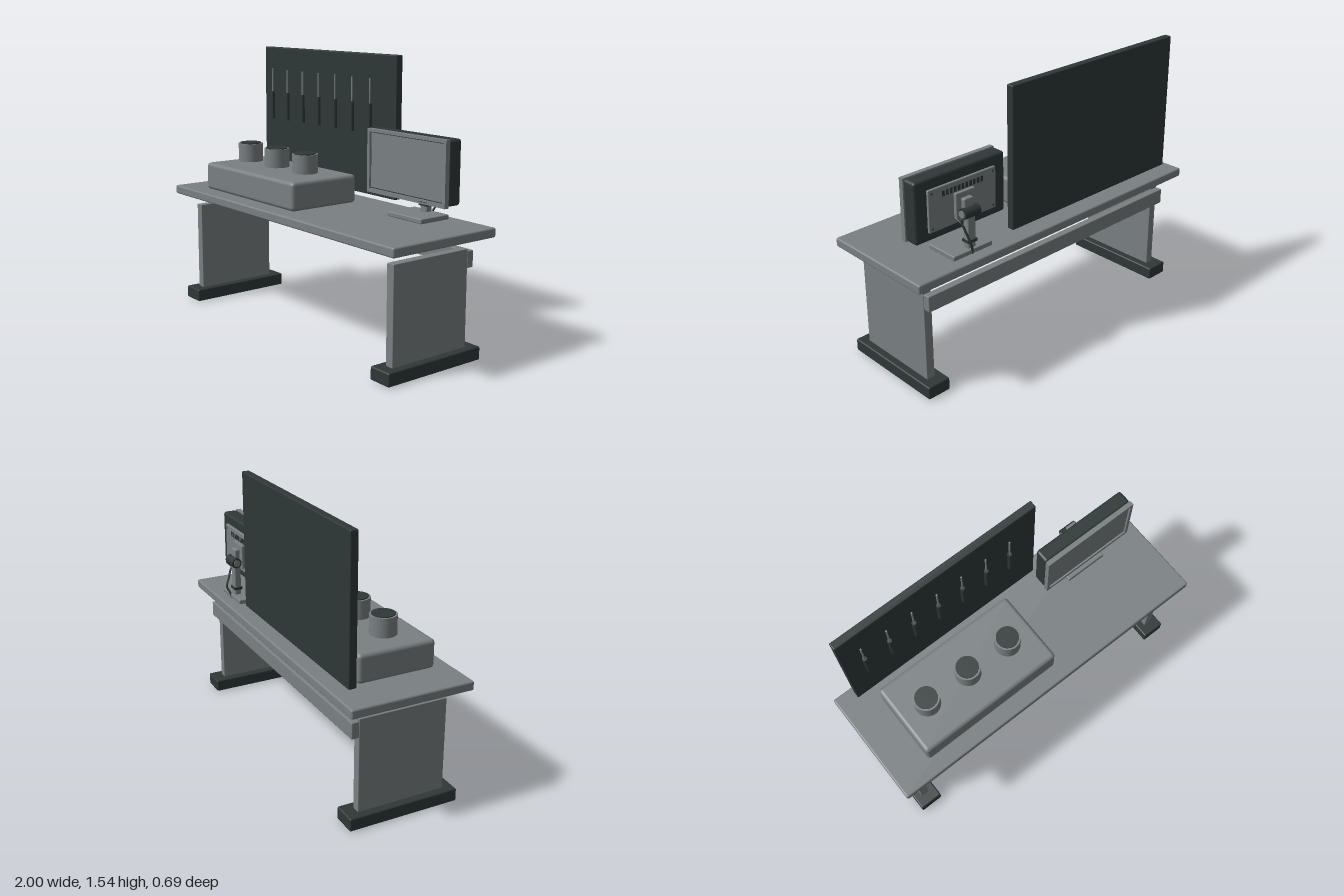
import * as THREE from 'three';
import { RoundedBoxGeometry } from 'three/addons/geometries/RoundedBoxGeometry.js';

export function createModel() {
  const root = new THREE.Group();
  root.name = 'workbench';
  const grey = new THREE.MeshStandardMaterial({ name: 'steel grey', color: 0x7a8183 });
  const dark = new THREE.MeshStandardMaterial({ name: 'dark slate', color: 0x2e3837 });

  const add = (parent, name, geo, mat, x = 0, y = 0, z = 0) => {
    const mesh = new THREE.Mesh(geo, mat);
    mesh.name = name;
    mesh.position.set(x, y, z);
    parent.add(mesh);
    return mesh;
  };
  // Box given by its limits on each axis, with optional rounded edges
  const box = (parent, name, mat, [x0, x1], [y0, y1], [z0, z1], r = 0) => {
    const size = [x1 - x0, y1 - y0, z1 - z0];
    const geo = r ? new RoundedBoxGeometry(...size, 3, r) : new THREE.BoxGeometry(...size);
    return add(parent, name, geo, mat, (x0 + x1) / 2, (y0 + y1) / 2, (z0 + z1) / 2);
  };
  const group = (name) => {
    const g = new THREE.Group();
    g.name = name;
    root.add(g);
    return g;
  };

  // Table: top, legs, feet and rear rail
  const table = group('table');
  box(table, 'tableTop', grey, [-1, 1], [0.655, 0.706], [-0.345, 0.345], 0.01);
  for (const s of [-1, 1]) {
    const side = s < 0 ? 'right' : 'left';
    const span = (a, b) => (s < 0 ? [-b, -a] : [a, b]);
    box(table, side + 'Leg', grey, span(0.853, 0.902), [0.06, 0.592], [-0.247, 0.253], 0.003);
    box(table, side + 'Foot', dark, span(0.808, 0.945), [0, 0.072], [-0.314, 0.314], 0.008);
  }
  box(table, 'rearRail', grey, [-0.902, 0.902], [0.49, 0.58], [-0.289, -0.247], 0.005);

  // Storage case with three cups
  const storage = group('storage');
  box(storage, 'case', grey, [-0.785, 0.09], [0.706, 0.866], [-0.19, 0.253], 0.022);
  for (const x of [-0.62, -0.35, -0.08]) {
    add(storage, 'cup', new THREE.CylinderGeometry(0.072, 0.072, 0.106, 40), grey, x, 0.931, 0.042);
    add(storage, 'cupFill', new THREE.CylinderGeometry(0.062, 0.062, 0.006, 40), dark, x, 0.986, 0.042);
  }

  // Tool board with a row of seven drivers
  const tools = group('toolBoard');
  box(tools, 'board', dark, [-0.885, 0.34], [0.75, 1.536], [-0.299, -0.255], 0.006);
  for (let i = 0; i < 7; i++) {
    const x = -0.772 + i * 0.154;
    add(tools, 'handle', new THREE.CylinderGeometry(0.013, 0.013, 0.167, 16), dark, x, 1.183, -0.23);
    add(tools, 'shaft', new THREE.CylinderGeometry(0.005, 0.005, 0.14, 10), grey, x, 1.335, -0.23);
  }

  // Monitor: bezel frame, screen and dark housing
  const monitor = group('monitor');
  const frame = new THREE.Shape();
  const rect = (path, x0, x1, y0, y1) =>
    path.moveTo(x0, y0).lineTo(x1, y0).lineTo(x1, y1).lineTo(x0, y1).closePath();
  rect(frame, 0.303, 0.892, 0.815, 1.157);
  const hole = new THREE.Path();
  rect(hole, 0.322, 0.874, 0.836, 1.141);
  frame.holes.push(hole);
  add(monitor, 'bezel', new THREE.ExtrudeGeometry(frame, { depth: 0.027, bevelEnabled: false }),
    grey, 0, 0, -0.113);
  box(monitor, 'screenGasket', dark, [0.322, 0.874], [0.836, 1.141], [-0.113, -0.098]);
  box(monitor, 'screen', grey, [0.328, 0.868], [0.842, 1.135], [-0.1, -0.094]);
  box(monitor, 'housing', dark, [0.304, 0.891], [0.82, 1.156], [-0.198, -0.112], 0.016);
  box(monitor, 'rearPanel', grey, [0.38, 0.818], [0.87, 1.1], [-0.213, -0.196], 0.004);
  for (let i = 0; i < 11; i++) {
    const x = 0.475 + i * 0.025;
    box(monitor, 'vent', dark, [x - 0.008, x + 0.008], [1.045, 1.075], [-0.215, -0.211]);
  }
  for (const x of [0.4, 0.798]) for (const y of [0.89, 1.08]) {
    add(monitor, 'screw', new THREE.CylinderGeometry(0.006, 0.006, 0.004, 12), dark, x, y, -0.213)
      .rotation.x = Math.PI / 2;
  }
  for (let i = 0; i < 4; i++) {
    const x = 0.71 + i * 0.017;
    box(monitor, 'button', dark, [x - 0.004, x + 0.004], [0.824, 0.828], [-0.09, -0.084]);
  }

  // Monitor stand: base, column, hinge and mounting plate
  const stand = group('monitorStand');
  box(stand, 'standBase', grey, [0.47, 0.728], [0.708, 0.735], [-0.283, -0.086], 0.006);
  box(stand, 'column', grey, [0.567, 0.618], [0.73, 0.93], [-0.268, -0.228], 0.008);
  box(stand, 'mountPlate', grey, [0.535, 0.66], [0.9, 1.04], [-0.232, -0.21], 0.004);
  box(stand, 'neck', grey, [0.57, 0.63], [0.91, 1.01], [-0.26, -0.23], 0.006);
  const turn = (mesh) => { mesh.rotation.z = Math.PI / 2; };
  turn(add(stand, 'hinge', new THREE.CylinderGeometry(0.03, 0.03, 0.1, 24), dark, 0.598, 0.935, -0.26));
  turn(add(stand, 'hingePin', new THREE.CylinderGeometry(0.02, 0.02, 0.112, 20), grey, 0.598, 0.935, -0.26));
  box(stand, 'columnCollar', dark, [0.562, 0.623], [0.765, 0.78], [-0.273, -0.224]);

  // Power cable from the rear panel down to the table, and its tail below
  const cable = (name, points, r) => {
    const curve = new THREE.CatmullRomCurve3(points.map((p) => new THREE.Vector3(...p)));
    add(stand, name, new THREE.TubeGeometry(curve, 32, r, 8), dark);
  };
  cable('powerCable', [[0.655, 0.9, -0.21], [0.65, 0.885, -0.25], [0.635, 0.82, -0.28],
    [0.625, 0.77, -0.297], [0.61, 0.74, -0.285], [0.6, 0.705, -0.275]], 0.006);
  cable('cableTail', [[0.597, 0.66, -0.213], [0.597, 0.62, -0.213], [0.597, 0.582, -0.215]], 0.008);

  return root;
}
